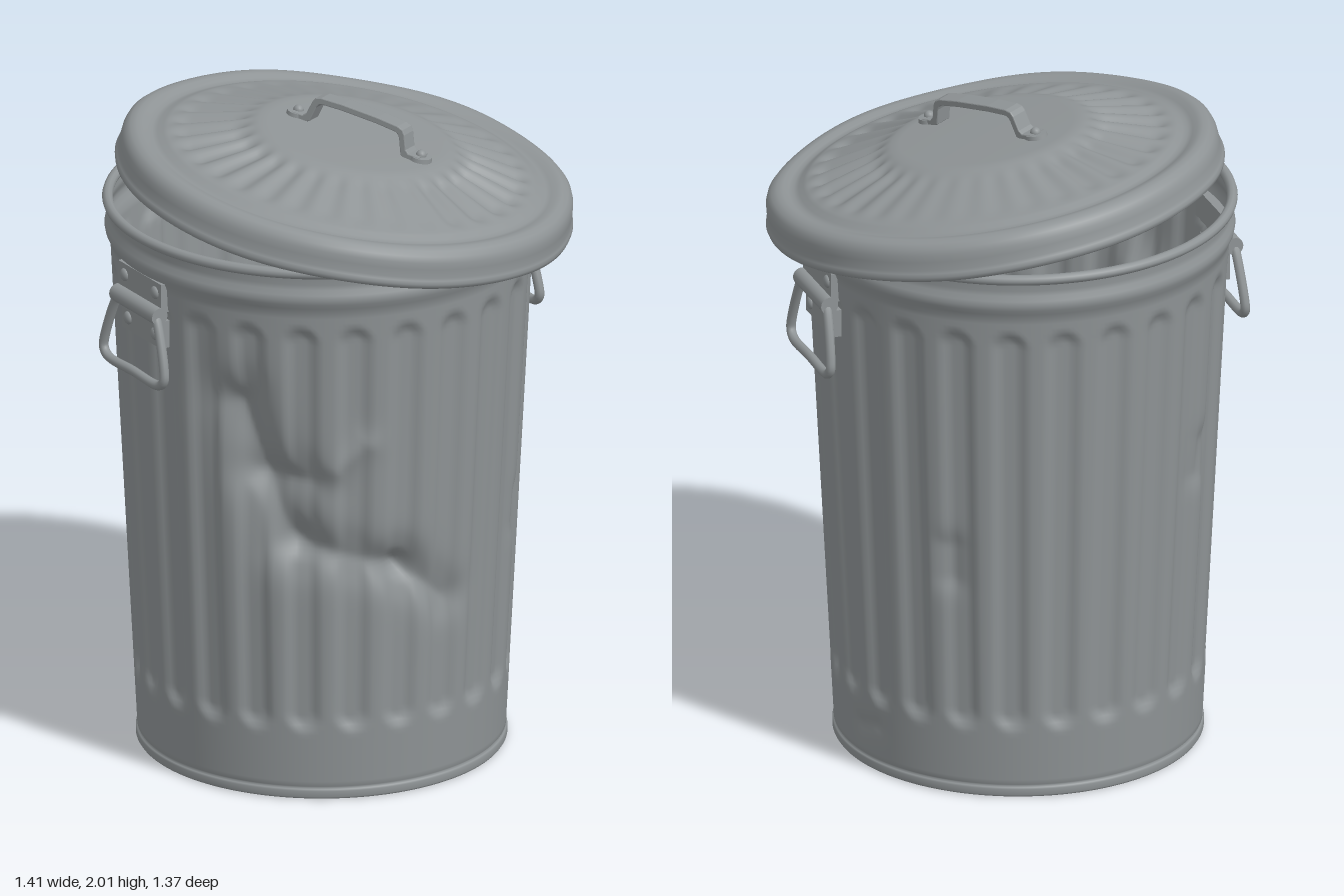
import * as THREE from 'three';
import { mergeVertices } from 'three/addons/utils/BufferGeometryUtils.js';

const steel = new THREE.MeshStandardMaterial({ color: 0x8f9496, side: THREE.DoubleSide });
steel.name = 'galvanised steel';

function add(parent, name, geometry, x = 0, y = 0, z = 0) {
  const m = new THREE.Mesh(geometry, steel);
  m.name = name;
  m.position.set(x, y, z);
  parent.add(m);
  return m;
}

const smooth = THREE.MathUtils.smoothstep;
const wallRadius = (y) => 0.543 + 0.052 * y;

// Lathe whose points are pushed around by rule(radius, y, angle) -> [radius, y]
function shapedLathe(profile, segments, rule) {
  const g = new THREE.LatheGeometry(profile.map(([r, y]) => new THREE.Vector2(r, y)), segments);
  const p = g.attributes.position;
  for (let i = 0; i < p.count; i++) {
    const x = p.getX(i), z = p.getZ(i), a = Math.atan2(x, z);
    const [r, y] = rule(Math.hypot(x, z), p.getY(i), a);
    p.setXYZ(i, r * Math.sin(a), y, r * Math.cos(a));
  }
  g.deleteAttribute('uv');
  g.deleteAttribute('normal');
  const merged = mergeVertices(g, 1e-4);
  merged.computeVertexNormals();
  return merged;
}

// Dents as creases on the unrolled wall: u1, y1, u2, y2, width, depth
const dents = [
  [-0.58, 1.25, -0.43, 0.84, 0.08, 0.055],
  [-0.54, 1.03, -0.36, 1.02, 0.06, 0.03],
  [-0.28, 1.06, -0.20, 1.14, 0.04, -0.014],
  [-0.38, 0.81, -0.08, 0.73, 0.06, 0.035],
  [-0.08, 0.73, 0.09, 0.60, 0.055, 0.035],
  [0.49, 0.72, 0.50, 0.80, 0.04, 0.018],
  [1.43, 0.70, 1.43, 0.80, 0.04, 0.018],
  [-1.40, 0.92, -1.38, 1.02, 0.04, 0.014],
  [1.05, 0.13, 1.14, 0.15, 0.025, 0.008],
];

function dentDepth(u, y) {
  let sum = 0;
  for (const [u1, y1, u2, y2, w, depth] of dents) {
    const du = u2 - u1, dy = y2 - y1;
    const t = THREE.MathUtils.clamp(((u - u1) * du + (y - y1) * dy) / (du * du + dy * dy), 0, 1);
    const d = Math.hypot(u - u1 - t * du, y - y1 - t * dy) / w;
    sum += depth * Math.exp(-Math.pow(d, 1.6));
  }
  return sum;
}

// Tapered wall with 24 pressed round-ended flutes
function buildCan() {
  const can = new THREE.Group();
  can.name = 'can';
  const profile = [[0.535, 0], [0.545, 0.002], [0.549, 0.008], [0.549, 0.026], [0.546, 0.031], [0.54, 0.035]];
  for (let i = 0; i <= 102; i++) {
    const y = 0.04 + i * 0.015;
    profile.push([wallRadius(y), y]);
  }
  profile.push([0.632, 1.59], [0.639, 1.605], [0.642, 1.62], [0.639, 1.635], [0.631, 1.65],
    [0.629, 1.665], [0.631, 1.69]);
  const pitch = Math.PI / 12;
  const wall = shapedLathe(profile, 288, (r, y, a) => {
    const offset = (((a / pitch) % 1) + 1) % 1 - 0.5;
    const ends = Math.max(Math.abs(y - 0.87) - 0.6, 0);
    const d = Math.hypot(offset * pitch * r, ends);
    const dent = dentDepth(a * 0.59, y);
    const fade = 1 - 0.6 * smooth(Math.abs(dent), 0.005, 0.04);
    const flute = 0.017 * fade * (1 - smooth(d, 0.02, 0.06));
    return [r - flute - dent, y];
  });
  add(can, 'fluted wall', wall);
  add(can, 'bottom', new THREE.CircleGeometry(0.545, 96).rotateX(Math.PI / 2), 0, 0.004, 0);
  add(can, 'top rim', new THREE.TorusGeometry(0.633, 0.016, 10, 128).rotateX(Math.PI / 2), 0, 1.703, 0);
  return can;
}

// Riveted bracket with a hanging wire loop, facing +z
function buildSideHandle() {
  const handle = new THREE.Group();
  handle.name = 'side handle';
  add(handle, 'upper plate', new THREE.BoxGeometry(0.24, 0.09, 0.03), 0, 1.545, 0.618);
  add(handle, 'lower plate', new THREE.BoxGeometry(0.22, 0.085, 0.03), 0, 1.425, 0.612);
  add(handle, 'curled hinge', new THREE.CylinderGeometry(0.027, 0.027, 0.24, 20).rotateZ(Math.PI / 2), 0, 1.49, 0.638);
  for (const side of [-1, 1]) {
    for (const [y, z, x] of [[1.555, 0.632, 0.085], [1.42, 0.626, 0.075]]) {
      const rivet = add(handle, 'rivet', new THREE.SphereGeometry(0.02, 14, 10), side * x, y, z);
      rivet.scale.z = 0.6;
    }
  }
  const half = [[0, 1.495], [0.09, 1.495], [0.112, 1.475], [0.165, 1.34], [0.168, 1.305], [0.145, 1.284], [0, 1.282]];
  const loop = [...half, ...half.slice(1, -1).reverse().map(([x, y]) => [-x, y])]
    .map(([x, y]) => new THREE.Vector3(x, y, 0.642 + (1.495 - y) * 0.06));
  const curve = new THREE.CatmullRomCurve3(loop, true, 'centripetal');
  add(handle, 'wire loop', new THREE.TubeGeometry(curve, 120, 0.0145, 10, true));
  return handle;
}

// Bent strap with a riveted foot at each end, running along x
function buildLidHandle() {
  const handle = new THREE.Group();
  handle.name = 'lid handle';
  const outer = [[0.215, 0.014], [0.18, 0.014], [0.168, 0.025], [0.155, 0.068], [0.147, 0.08], [0.13, 0.086], [0.06, 0.09]];
  const inner = [[0.06, 0.076], [0.128, 0.072], [0.138, 0.066], [0.144, 0.056], [0.158, 0.008], [0.17, 0], [0.215, 0]];
  const flip = (pts) => pts.map(([x, y]) => [-x, y]).reverse();
  const outline = [...outer, ...flip(outer), ...flip(inner), ...inner];
  const shape = new THREE.Shape(outline.map(([x, y]) => new THREE.Vector2(x, y)));
  const strap = new THREE.ExtrudeGeometry(shape, {
    depth: 0.05, bevelEnabled: true, bevelThickness: 0.004, bevelSize: 0.003, bevelSegments: 2,
  }).translate(0, 0, -0.025);
  add(handle, 'strap', strap);
  for (const x of [-0.21, 0.21]) {
    add(handle, 'foot', new THREE.CylinderGeometry(0.033, 0.035, 0.016, 24), x, 0.006, 0);
    add(handle, 'rivet', new THREE.SphereGeometry(0.016, 14, 10), x, 0.016, 0);
  }
  return handle;
}

// Shallow domed lid with radial pressed flutes of uneven depth
function buildLid() {
  const lid = new THREE.Group();
  lid.name = 'lid';
  const profile = [[0.665, 0.004], [0.675, -0.002], [0.684, 0.004], [0.687, 0.015], [0.684, 0.026], [0.679, 0.034],
    [0.678, 0.06], [0.676, 0.08], [0.669, 0.098], [0.656, 0.111], [0.638, 0.117], [0.62, 0.116],
    [0.605, 0.108], [0.59, 0.105], [0.575, 0.109]];
  for (let i = 0; i <= 20; i++) profile.push([0.56 - i * 0.013, 0.119 + i * 0.0036]);
  profile.push([0.285, 0.196], [0.26, 0.198], [0.13, 0.2], [0, 0.201]);
  const count = 32;
  const shell = shapedLathe(profile, 320, (r, y, a) => {
    const t = (a / (2 * Math.PI) + 1) * count;
    const k = Math.floor(t) % count;
    const depth = 0.012 + 0.006 * Math.sin(k * 12.9) - 0.005 * Math.cos(2 * a + 1.6);
    const band = smooth(r, 0.3, 0.36) * (1 - smooth(r, 0.49, 0.55));
    const flute = Math.pow(Math.sin(Math.PI * (t % 1)), 2);
    const wobble = 0.004 * smooth(r, 0.55, 0.68) * Math.sin(5 * a + 1) * Math.sin(2 * a);
    return [r + wobble, y - depth * band * flute + wobble];
  });
  add(lid, 'lid shell', shell);
  const grip = buildLidHandle();
  grip.position.set(0, 0.197, 0.025);
  grip.rotation.y = -1.06;
  lid.add(grip);
  return lid;
}

export function createModel() {
  const model = new THREE.Group();
  model.name = 'trash can';

  const can = buildCan();
  can.position.set(-0.035, 0, -0.033);
  for (const side of [-1, 1]) {
    const handle = buildSideHandle();
    handle.name = side > 0 ? 'left side handle' : 'right side handle';
    handle.rotation.y = side * Math.PI / 2;
    can.add(handle);
  }
  model.add(can);

  // The lid sits askew, dropping to the front left
  const lid = buildLid();
  lid.position.set(0.02, 1.705, 0);
  lid.quaternion.setFromUnitVectors(new THREE.Vector3(0, 1, 0), new THREE.Vector3(0.138, 1, 0.1).normalize());
  model.add(lid);
  return model;
}
